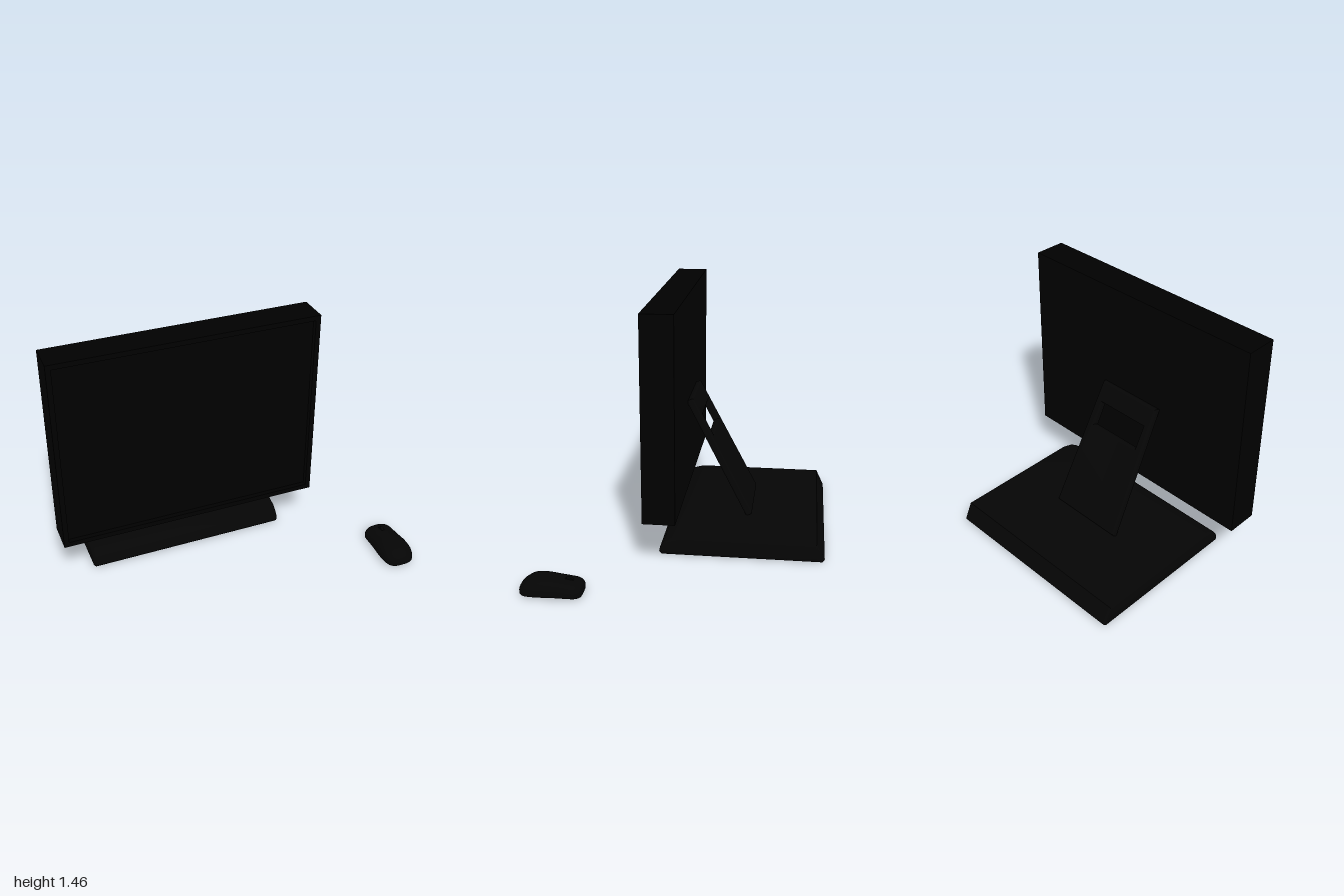
import * as THREE from 'three';
import { toCreasedNormals } from 'three/addons/utils/BufferGeometryUtils.js';

const black = new THREE.MeshStandardMaterial({ color: 0x050505 });
const darkest = new THREE.MeshStandardMaterial({ color: 0x000000 });
const CX = -0.218; // centre line of the monitor, stand and base

const outline = (pts) => new THREE.Shape(pts.map(([x, y]) => new THREE.Vector2(x, y)));
const hole = (pts) => new THREE.Path(pts.map(([x, y]) => new THREE.Vector2(x, y)).reverse());
const rect = (w, h, y = 0) => [[-w / 2, y - h / 2], [w / 2, y - h / 2], [w / 2, y + h / 2], [-w / 2, y + h / 2]];

function add(parent, name, geometry, material, x = 0, y = 0, z = 0) {
  const mesh = new THREE.Mesh(geometry, material);
  mesh.name = name;
  mesh.position.set(x, y, z);
  parent.add(mesh);
  return mesh;
}

// Extrusion whose bevel is cut inside the outline, centred on its depth
function slab(shape, depth, bevel) {
  const g = new THREE.ExtrudeGeometry(shape, {
    depth: depth - 2 * bevel, bevelEnabled: bevel > 0, bevelSize: bevel,
    bevelThickness: bevel, bevelOffset: -bevel, bevelSegments: 4,
  });
  g.translate(0, 0, -(depth - 2 * bevel) / 2);
  return toCreasedNormals(g, 0.6);
}

// Mouse shell lofted through rows of [z, half width, bottom, top]
function mouseShell(rows, n = 32, steps = 40) {
  const pos = [], idx = [];
  const power = (v, p) => Math.sign(v) * Math.abs(v) ** p;
  const widths = new THREE.CatmullRomCurve3(rows.map(([z, w, , top]) => new THREE.Vector3(w, top, z)));
  const floors = new THREE.CatmullRomCurve3(rows.map(([z, w, bottom, top]) => new THREE.Vector3(w, bottom, z)));
  for (let i = 0; i <= steps; i++) {
    const { x: w, y: top, z } = widths.getPoint(i / steps);
    const bottom = floors.getPoint(i / steps).y;
    const mid = bottom + (top - bottom) * 0.3;
    for (let j = 0; j < n; j++) {
      const a = (j / n) * Math.PI * 2, s = Math.sin(a);
      const y = s >= 0 ? mid + (top - mid) * power(s, 0.8) : mid + (mid - bottom) * power(s, 0.5);
      pos.push(w * power(Math.cos(a), 0.75), y, z);
    }
  }
  for (let i = 0; i < steps; i++) for (let j = 0; j < n; j++) {
    const a = i * n + j, b = i * n + (j + 1) % n;
    idx.push(a, b, a + n, b, b + n, a + n);
  }
  // flat end caps
  const e = steps * n;
  for (let j = 1; j < n - 1; j++) idx.push(0, j + 1, j, e, e + j, e + j + 1);
  const g = new THREE.BufferGeometry();
  g.setAttribute('position', new THREE.Float32BufferAttribute(pos, 3));
  g.setIndex(idx);
  g.computeVertexNormals();
  return g;
}

export function createModel() {
  const model = new THREE.Group();
  model.name = 'desktopComputer';

  // Monitor: solid back, narrow bezel, recessed screen
  const W = 1.564, H = 1.188, RIM = 0.03, RECESS = 0.03;
  const BACK = 0.023, FRONT = 0.21, glass = FRONT - RECESS;
  const monitor = new THREE.Group();
  monitor.name = 'monitor';
  monitor.position.set(CX, 0.862, 0);
  model.add(monitor);
  add(monitor, 'housing', new THREE.BoxGeometry(W, H, glass - BACK), darkest, 0, 0, (glass + BACK) / 2);
  const bezel = outline(rect(W, H));
  bezel.holes.push(hole(rect(W - 2 * RIM, H - 2 * RIM)));
  add(monitor, 'bezel', slab(bezel, RECESS, 0), darkest, 0, 0, FRONT - RECESS / 2);
  add(monitor, 'screen', new THREE.PlaneGeometry(W - 2 * RIM, H - 2 * RIM), darkest, 0, 0, glass + 0.001);

  // Base: wedge-ended side profile swept across the width
  const profile = outline([
    [-0.13, 0], [-0.145, 0.015], [-0.14, 0.04], [-0.12, 0.07], [-0.08, 0.097], [-0.015, 0.115],
    [0.767, 0.115], [0.814, 0.016], [0.803, 0],
  ]);
  add(model, 'base', slab(profile, 1.208, 0.018), black, CX).rotation.y = Math.PI / 2;

  // Leaning stand plate, wider at the foot, with a handle slot
  const L = 0.4;
  const plate = outline([[-0.235, -L], [0.235, -L], [0.21, L], [-0.21, L]]);
  plate.holes.push(hole(rect(0.33, 0.14, 0.205)));
  add(model, 'stand', slab(plate, 0.046, 0.014), black, CX, 0.474, -0.172).rotation.x = 0.481;

  // Mouse with a scroll wheel standing proud of the shell
  const mouse = new THREE.Group();
  mouse.name = 'mouse';
  mouse.position.x = 0.904;
  model.add(mouse);
  add(mouse, 'mouseShell', mouseShell([
    [0.468, 0.04, 0.012, 0.045], [0.474, 0.064, 0.004, 0.062], [0.5, 0.084, 0, 0.077], [0.54, 0.089, 0, 0.084],
    [0.6, 0.09, 0, 0.092], [0.68, 0.096, 0, 0.1], [0.74, 0.094, 0, 0.094], [0.78, 0.082, 0, 0.073],
    [0.802, 0.06, 0.004, 0.054], [0.812, 0.035, 0.012, 0.036],
  ]), black);
  const wheel = new THREE.CylinderGeometry(0.03, 0.03, 0.018, 20).rotateZ(Math.PI / 2);
  add(mouse, 'scrollWheel', wheel, black, 0, 0.065, 0.545);

  return model;
}
